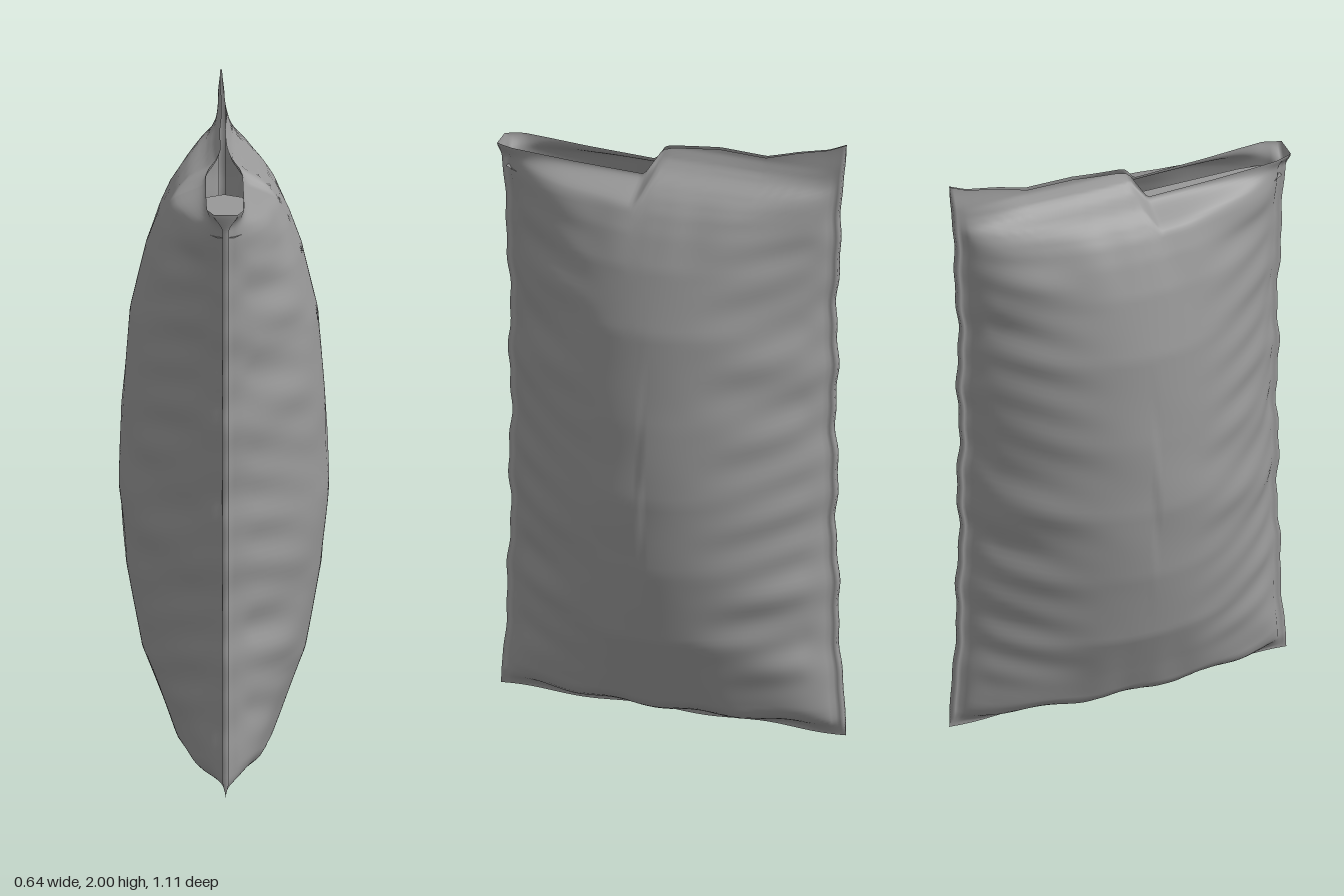
import * as THREE from 'three';

const { lerp, smoothstep } = THREE.MathUtils;

// Linear interpolation through [position, value] pairs
function sample(table, t) {
  if (t <= table[0][0]) return table[0][1];
  for (let i = 1; i < table.length; i++) {
    const [t0, v0] = table[i - 1], [t1, v1] = table[i];
    if (t <= t1) return lerp(v0, v1, (t - t0) / (t1 - t0));
  }
  return table[table.length - 1][1];
}

// Half thickness of the pouch at each height
const THICKNESS = [[0.015, 0], [0.035, 0.03], [0.055, 0.085], [0.075, 0.12], [0.1, 0.142], [0.2, 0.18],
  [0.35, 0.24], [0.6, 0.286], [0.85, 0.308], [1.1, 0.3], [1.4, 0.276], [1.6, 0.228], [1.7, 0.19],
  [1.76, 0.16], [1.8, 0.13], [1.83, 0.095], [1.85, 0.05], [1.875, 0.022], [1.91, 0.006], [2, 0]];

// Height of the top edge from back to front, with the torn step in the middle
const TOP_EDGE = [[-0.555, 2], [-0.5, 1.975], [-0.4, 1.952], [-0.3, 1.922], [-0.15, 1.925], [0, 1.908],
  [0.03, 1.9], [0.075, 1.83], [0.3, 1.838], [0.5, 1.85], [0.555, 1.85]];

// Half width of the torn opening from back to front
const OPENING = [[0.025, 0.008], [0.065, 0.056], [0.42, 0.057], [0.5, 0.056], [0.54, 0.042], [0.555, 0.036]];

// Point on one panel: u runs back to front, v bottom to top
function panelPoint(u, v, side) {
  const top = sample(TOP_EDGE, u * 0.555);
  const bottom = 0.006 + 0.005 * Math.sin(u * 9);
  const y = lerp(bottom, top, v);

  // Seam edge flares at the corners and ripples along its length
  const ripple = 0.005 * Math.sin(y * 17 + u) + 0.003 * Math.sin(y * 43 + 2 * u);
  const flare = Math.pow(Math.abs(2 * v - 1), 3);
  const z = u * (0.522 + 0.033 * flare + ripple * (1 - flare));

  // Lens-shaped section, fuller towards both ends
  const ends = Math.max(1 - smoothstep(y, 0.05, 0.45), smoothstep(y, 1.55, 1.85));
  const lens = Math.pow(Math.max(0, 1 - (u / 0.955) ** 2), lerp(0.85, 0.58, ends));
  const low = 0.006 * Math.sin(u * 13 + side) * (1 - smoothstep(y, 0.08, 0.2));
  let x = sample(THICKNESS, y + low) * lens;

  // Irregular, slanting creases near the side seams
  const e = Math.abs(u);
  const sideMask = smoothstep(e, 0.2, 0.75) * (1 - smoothstep(e, 0.82, 0.95));
  const heightMask = smoothstep(y, 0.1, 0.3) * (1 - smoothstep(y, 1.65, 1.8));
  const phase = side * 0.8 + Math.sign(u) * 1.3;
  const fade = 0.55 + 0.45 * Math.sin(y * 7.3 + phase * 2);
  x += sideMask * heightMask * (0.008 * fade * Math.sin(y * 24 + phase + e * 3)
    + 0.004 * Math.sin(y * 47 - phase - e * 6));

  // Soft dents across the middle and faint gathers near both ends
  x += 0.003 * lens * heightMask * Math.sin(y * 15 + u * 3 + phase) * Math.exp(-(((y - 0.9) / 0.3) ** 2));
  const gather = smoothstep(y, 0.06, 0.12) * (1 - smoothstep(y, 0.15, 0.42))
    + smoothstep(y, 1.55, 1.72) * (1 - smoothstep(y, 1.76, 1.84));
  x += gather * lens * e * 0.009 * Math.sin(u * 17 + side + y * 5 + 1.5 * Math.sin(u * 5));

  // Thin seal, pinched towards its outer edges
  x = Math.max(x, 0) + 0.01 * smoothstep(v, 0, 0.03) * (1 - smoothstep(v, 0.96, 1) * 0.7);

  // Lips of the torn opening
  const opening = sample(OPENING, u * 0.555);
  x = lerp(x, opening, smoothstep(y, top - 0.06, top) * smoothstep(u * 0.555, 0.015, 0.06));

  // The upright seal wavers a little
  const waver = 0.003 * Math.sin(u * 8) * smoothstep(y, 1.82, 1.95);
  return [side * x + waver, y, z];
}

function pouchGeometry(cols = 96, rows = 120) {
  const positions = [], index = [], ring = 2 * (cols + 1);
  for (let r = 0; r <= rows; r++) {
    const t = r / rows;
    const v = lerp(t, 0.5 - 0.5 * Math.cos(Math.PI * t), 0.75);
    for (let i = 0; i < ring; i++) {
      const left = i <= cols;
      const u = (left ? i / cols : (ring - 1 - i) / cols) * 2 - 1;
      positions.push(...panelPoint(u, v, left ? 1 : -1));
    }
  }
  for (let r = 0; r < rows; r++) {
    for (let i = 0; i < ring; i++) {
      const a = r * ring + i, b = r * ring + (i + 1) % ring;
      index.push(a, a + ring, b, b, a + ring, b + ring);
    }
  }
  const geometry = new THREE.BufferGeometry();
  geometry.setAttribute('position', new THREE.Float32BufferAttribute(positions, 3));
  geometry.setIndex(index);
  geometry.computeVertexNormals();
  return geometry;
}

// Flat fill seen inside the opening
function fillGeometry() {
  const outline = [[0, 0.035], [0.058, 0.07], [0.058, 0.42], [0.05, 0.49], [0.024, 0.53]];
  const mirrored = outline.slice(1).reverse().map(([x, z]) => [-x, z]);
  const shape = new THREE.Shape([...outline, ...mirrored].map(([x, z]) => new THREE.Vector2(x, -z)));
  return new THREE.ShapeGeometry(shape).rotateX(-Math.PI / 2).translate(0, 1.77, 0);
}

export function createModel() {
  const group = new THREE.Group();
  group.name = 'openedPouch';
  const material = new THREE.MeshStandardMaterial({ color: 0x989898, side: THREE.DoubleSide });

  const pouch = new THREE.Mesh(pouchGeometry(), material);
  pouch.name = 'pouch';
  const fill = new THREE.Mesh(fillGeometry(), material);
  fill.name = 'openingFill';
  group.add(pouch, fill);
  return group;
}
